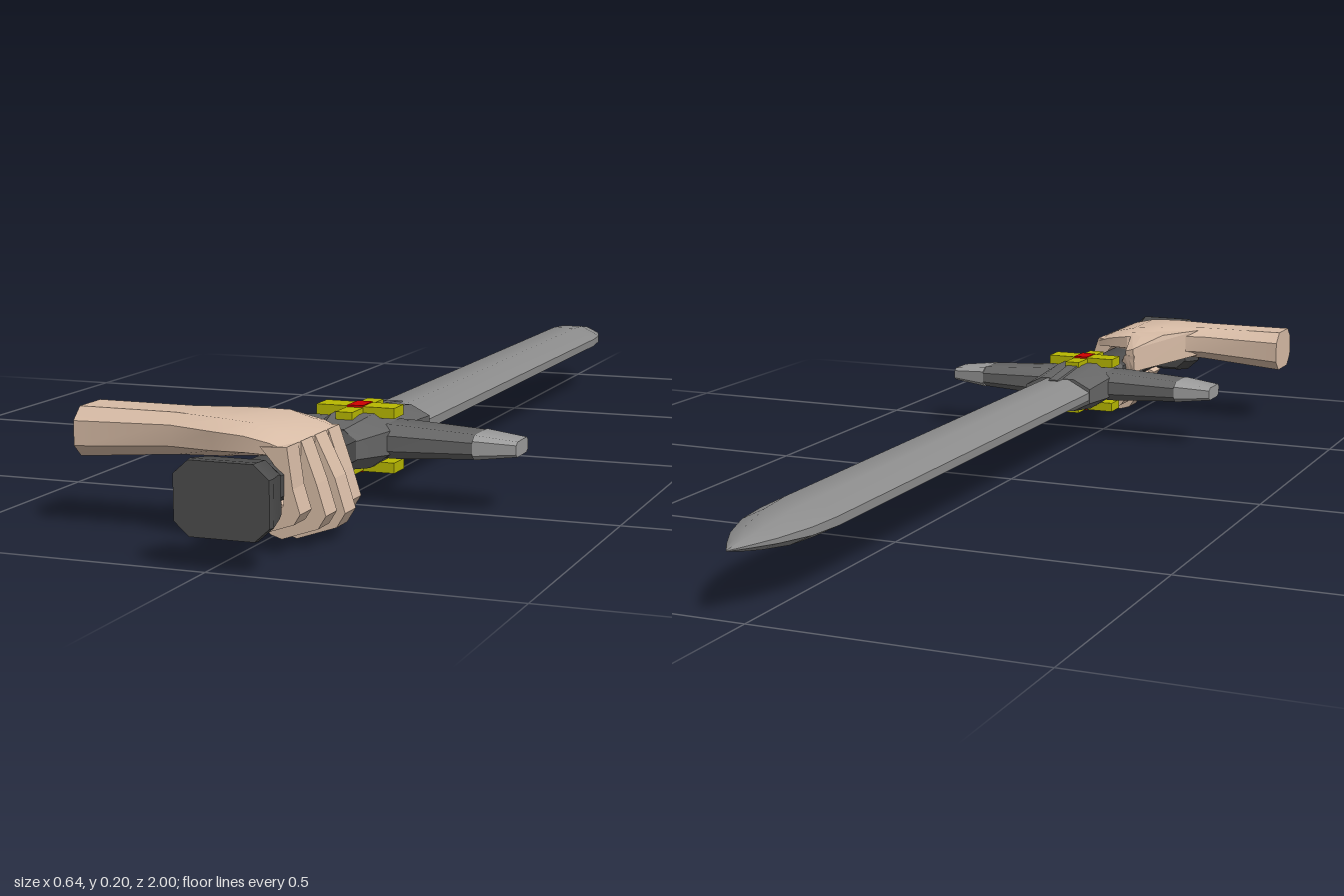
import * as THREE from 'three';
import { toCreasedNormals } from 'three/addons/utils/BufferGeometryUtils.js';
import { ConvexGeometry } from 'three/addons/geometries/ConvexGeometry.js';

const CX = 0.028, CY = 0.113; // sword axis
const mat = (color) => new THREE.MeshStandardMaterial({ color });
const steel = mat(0x8c8c8c), guardGrey = mat(0x666666), tipGrey = mat(0x9c9c9c), dark = mat(0x4c4c4c);
const skin = mat(0xd8bca6), gold = mat(0xb8b800), red = mat(0xd00000);

// Eight-sided section: half sizes a, b; fa, fb are the flat shares of each side
function ring8(a, b, fa, fb) {
  return [[a, b * fb], [a * fa, b], [-a * fa, b], [-a, b * fb],
    [-a, -b * fb], [-a * fa, -b], [a * fa, -b], [a, -b * fb]];
}

// Skin a list of rings (equal numbers of Vector3) and close both ends
function loft(rings, crease = 0.5) {
  const n = rings[0].length, tris = [];
  const tri = (a, b, c) => tris.push([a, b, c]);
  for (let i = 0; i < rings.length - 1; i++) {
    for (let j = 0; j < n; j++) {
      const k = (j + 1) % n, p = rings[i], q = rings[i + 1];
      tri(p[j], p[k], q[k]);
      tri(p[j], q[k], q[j]);
    }
  }
  const end = rings[rings.length - 1];
  for (let j = 1; j < n - 1; j++) {
    tri(rings[0][0], rings[0][j + 1], rings[0][j]);
    tri(end[0], end[j], end[j + 1]);
  }
  // Turn the faces outward whichever way the rings run
  let volume = 0;
  for (const [a, b, c] of tris) volume += a.dot(b.clone().cross(c));
  const pos = [];
  for (const [a, b, c] of tris) for (const p of volume > 0 ? [a, b, c] : [a, c, b]) pos.push(p.x, p.y, p.z);
  const g = new THREE.BufferGeometry();
  g.setAttribute('position', new THREE.Float32BufferAttribute(pos, 3));
  return toCreasedNormals(g, crease);
}

// Sections [z, halfWidth, halfHeight] along the sword axis
const loftZ = (rows, fa, fb, crease) => loft(rows.map(([z, a, b]) =>
  ring8(a, b, fa, fb).map(([x, y]) => new THREE.Vector3(CX + x, CY + y, z))), crease);

// Sections [x, yLow, yHigh, zLow, zHigh] along x
const loftX = (rows, fz, fy, crease) => loft(rows.map(([x, y0, y1, z0, z1]) =>
  ring8((z1 - z0) / 2, (y1 - y0) / 2, fz, fy).map(([z, y]) =>
    new THREE.Vector3(x, (y0 + y1) / 2 + y, (z0 + z1) / 2 + z))), crease);

export function createModel() {
  const model = new THREE.Group();
  const add = (name, geometry, material, parent = model) => {
    const mesh = new THREE.Mesh(geometry, material);
    mesh.name = name;
    parent.add(mesh);
    return mesh;
  };

  // Blade
  add('blade', loftZ([[0.38, 0.07, 0.032], [-0.78, 0.07, 0.031], [-0.85, 0.063, 0.027],
    [-0.92, 0.042, 0.017], [-0.97, 0.018, 0.008], [-1, 0.001, 0.001]], 0.35, 0.25, 0.65), steel);

  // Collar where blade, guard and grip meet, with a narrow spike over the blade
  add('collar', loftZ([[0.305, 0.071, 0.033], [0.4, 0.074, 0.045], [0.5, 0.07, 0.045],
    [0.58, 0.042, 0.034]], 0.5, 0.45, 0.6), guardGrey);
  add('collarSpike', loftZ([[0.28, 0.012, 0.034], [0.4, 0.014, 0.048]], 0.8, 0.8), guardGrey);

  // Crossguard with pale tapered ends
  const section = (dx, hy, hz) => [CX + dx, CY - hy, CY + hy, 0.455 - hz, 0.455 + hz];
  add('crossguard', loftX([section(-0.217, 0.021, 0.045), section(-0.08, 0.029, 0.05),
    section(0.08, 0.029, 0.05), section(0.217, 0.021, 0.045)], 0.6, 0.45, 0.8), guardGrey);
  for (const s of [-1, 1]) {
    add('guardTip', loftX([section(s * 0.217, 0.021, 0.045), section(s * 0.29, 0.013, 0.033)],
      0.75, 0.6, 0.8), tipGrey);
  }

  // Gold cross with a red stone, on both faces
  for (const s of [-1, 1]) {
    const ornament = new THREE.Group();
    ornament.name = 'ornament';
    ornament.position.set(CX, CY + s * 0.047, 0.457);
    add('crossArm', new THREE.BoxGeometry(0.142, 0.018, 0.046), gold, ornament);
    add('crossUpright', new THREE.BoxGeometry(0.03, 0.014, 0.145), gold, ornament);
    add('stone', new THREE.BoxGeometry(0.028, 0.021, 0.047), red, ornament);
    model.add(ornament);
  }

  // Grip and pommel
  add('grip', loftZ([[0.54, 0.042, 0.033], [0.95, 0.042, 0.033]], 0.5, 0.5, 0.8), dark);
  add('pommel', loftZ([[0.932, 0.066, 0.048], [0.945, 0.069, 0.054], [0.99, 0.08, 0.059],
    [1, 0.078, 0.058]], 0.68, 0.62), dark);

  // Wrist widening into the back of the hand
  add('wristAndPalm', loftX([[-0.322, 0.118, 0.2, 0.705, 0.815], [-0.15, 0.132, 0.2, 0.705, 0.815],
    [-0.06, 0.139, 0.199, 0.665, 0.848], [0, 0.145, 0.196, 0.642, 0.862],
    [0.045, 0.148, 0.185, 0.65, 0.866], [0.075, 0.15, 0.171, 0.66, 0.866]], 0.6, 0.5, 0.45), skin);

  // Fingers curling around the grip: [z start, width, reach]
  const outer = [[0.075, 0.172], [0.108, 0.105], [0.125, 0.05], [0.11, 0.026],
    [0.042, 0.003], [0.02, 0.01], [-0.012, 0.055]];
  const inner = [[0.016, 0.08], [0.045, 0.068], [0.068, 0.08], [0.07, 0.12], [0.05, 0.148], [0.03, 0.17]];
  for (const [z, width, reach] of [[0.662, 0.045, 0.87], [0.716, 0.044, 1], [0.77, 0.044, 0.9], [0.824, 0.044, 0.7]]) {
    const points = outer.map(([x, y], i) => i === 0 ? [x, y] : [CX + (x - CX) * reach, CY + (y - CY) * reach]);
    const shape = new THREE.Shape([...points, ...inner].map(([x, y]) => new THREE.Vector2(x, y)));
    const finger = new THREE.ExtrudeGeometry(shape, { depth: width, bevelEnabled: false });
    add('finger', finger.translate(0, 0, z), skin);
  }

  // Thumb: a web from the palm, then the tip folding down beside the grip
  const hull = (rows) => new ConvexGeometry(rows.map((p) => new THREE.Vector3(...p)));
  add('thumbBase', hull([[-0.14, 0.195, 0.715], [-0.14, 0.14, 0.715], [-0.08, 0.19, 0.65], [-0.08, 0.145, 0.65],
    [-0.032, 0.165, 0.592], [-0.035, 0.115, 0.595], [-0.015, 0.16, 0.592], [-0.015, 0.115, 0.6],
    [-0.032, 0.185, 0.64], [-0.005, 0.19, 0.66], [-0.005, 0.15, 0.66]]), skin);
  add('thumbTip', hull([[-0.035, 0.15, 0.592], [-0.012, 0.15, 0.592], [-0.035, 0.15, 0.64], [-0.012, 0.15, 0.64],
    [-0.03, 0.1, 0.6], [-0.03, 0.1, 0.642], [-0.008, 0.068, 0.612], [-0.008, 0.068, 0.645],
    [0.022, 0.066, 0.615], [0.022, 0.066, 0.645], [0.02, 0.085, 0.615], [0.02, 0.085, 0.645]]), skin);

  return model;
}
